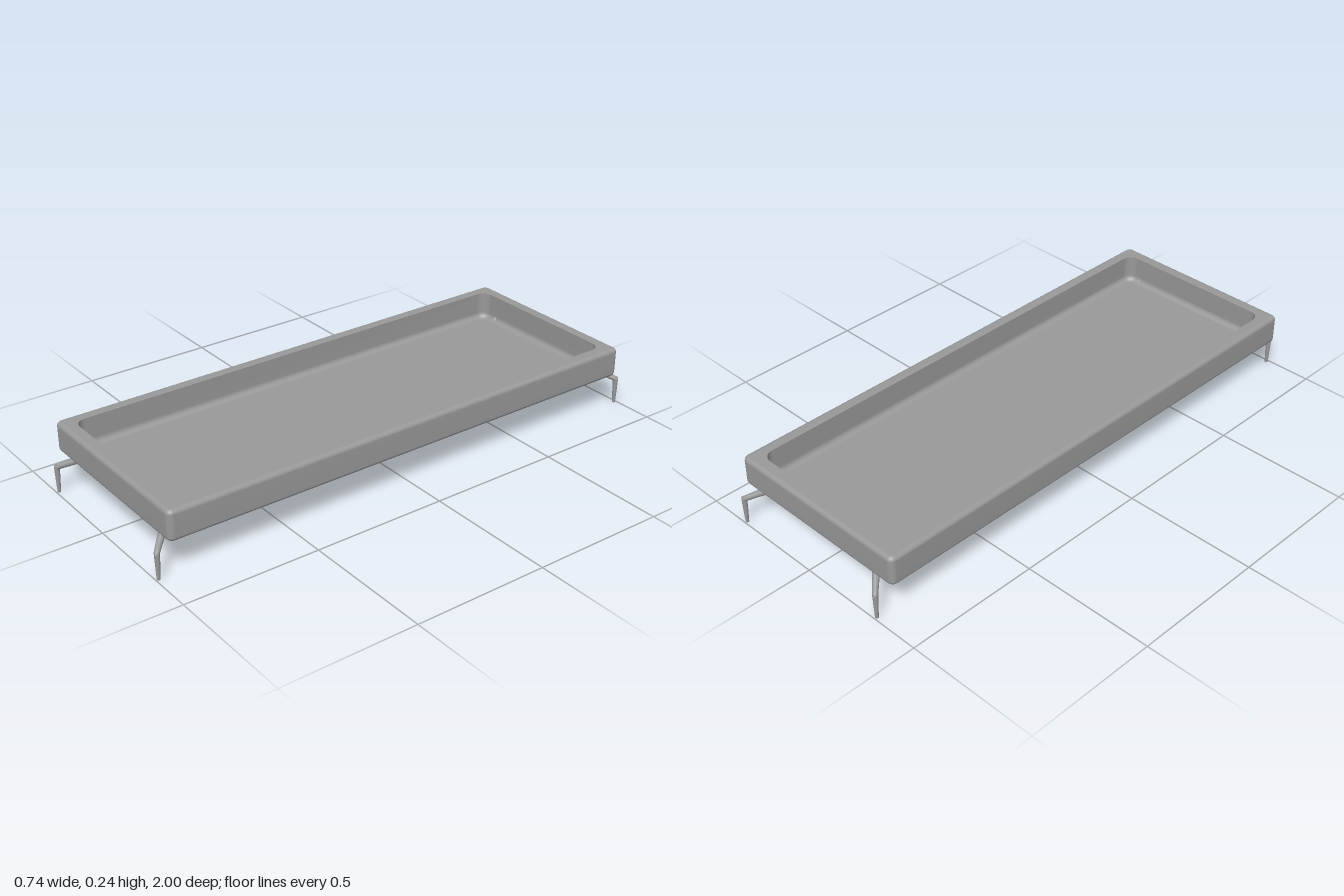
import * as THREE from 'three';

// Skin a stack of closed rings; repeated rings give a sharp edge, collapsed rings close the ends.
function skin(rings) {
  const n = rings[0].length;
  const geometry = new THREE.BufferGeometry().setFromPoints(rings.flat());
  const index = [];
  const same = (p, q) => p.distanceToSquared(q) < 1e-12;
  for (let i = 0; i < rings.length - 1; i++) {
    const lo = rings[i], hi = rings[i + 1];
    if (lo.every((p, j) => same(p, hi[j]))) continue;
    for (let j = 0; j < n; j++) {
      const k = (j + 1) % n;
      const a = i * n + j, b = i * n + k, c = a + n, d = b + n;
      if (!same(lo[j], lo[k])) index.push(a, c, b);
      if (!same(hi[j], hi[k])) index.push(b, c, d);
    }
  }
  geometry.setIndex(index);
  geometry.computeVertexNormals();
  return geometry;
}

// Rounded rectangle ring in the horizontal plane
function roundedRing(hx, hz, r, y) {
  const points = [], steps = 6;
  const corners = [[1, 1], [-1, 1], [-1, -1], [1, -1]];
  corners.forEach(([sx, sz], q) => {
    for (let i = 0; i <= steps; i++) {
      const t = (q + i / steps) * Math.PI / 2;
      points.push(new THREE.Vector3(sx * (hx - r) + r * Math.cos(t), y, sz * (hz - r) + r * Math.sin(t)));
    }
  });
  return points;
}

// Shallow tray: rounded outside, flat rim, straight inner wall with a filleted floor
function trayGeometry() {
  const HX = 0.368, HZ = 0.96, BOTTOM = 0.131, TOP = 0.243, FLOOR = 0.14;
  const EDGE = 0.016, RIM = 0.048, FILLET = 0.022, STEPS = 5;
  const ring = (inset, y, r) => roundedRing(HX - inset, HZ - inset, r, y);
  const rings = [roundedRing(0, 0, 0, BOTTOM)];
  const arc = (fn) => { for (let i = 0; i <= STEPS; i++) fn(i / STEPS * Math.PI / 2); };
  arc(t => { // lower outer edge
    const inset = EDGE * (1 - Math.sin(t));
    rings.push(ring(inset, BOTTOM + EDGE * (1 - Math.cos(t)), 0.022 - inset));
  });
  arc(t => { // upper outer edge
    const inset = EDGE * (1 - Math.cos(t));
    rings.push(ring(inset, TOP - EDGE * (1 - Math.sin(t)), 0.022 - inset));
  });
  rings.push(ring(RIM, TOP, 0.04), ring(RIM, TOP, 0.04)); // sharp inner rim
  arc(t => { // floor fillet
    const inset = FILLET * (1 - Math.cos(t));
    rings.push(ring(RIM + inset, FLOOR + FILLET * (1 - Math.sin(t)), 0.04 - inset));
  });
  rings.push(roundedRing(0, 0, 0, FLOOR));
  return skin(rings);
}

// Bent tapering leg, built in the xy plane with outward along +x
function legGeometry() {
  const up = new THREE.Vector2(0, 1);
  const arm = new THREE.Vector2(-0.914, 0.405);
  const mitre = up.clone().add(arm).normalize();
  const ring = (x, y, r, axis, stretch = 1) => Array.from({ length: 20 }, (_, j) => {
    const t = j / 20 * Math.PI * 2;
    const s = r * stretch * Math.cos(t);
    return new THREE.Vector3(x + s * axis.y, y - s * axis.x, r * Math.sin(t));
  });
  const KNEE = 0.097, REACH = 0.112;
  const tip = [-REACH, KNEE + REACH * 0.443];
  return skin([
    ring(0, 0, 0, up),
    ring(0, 0, 0.006, up),
    ring(0, 0, 0.006, up),
    ring(0, KNEE - 0.008, 0.0095, up),
    ring(0, KNEE, 0.0097, mitre, 1 / mitre.y),
    ring(-0.012, KNEE + 0.0053, 0.0102, arm),
    ring(...tip, 0.014, arm),
    ring(...tip, 0.014, arm),
    ring(...tip, 0, arm),
  ]);
}

export function createModel() {
  const model = new THREE.Group();
  model.name = 'lowTray';
  const grey = new THREE.MeshStandardMaterial({ color: 0x999999 });
  grey.name = 'grey';

  const tray = new THREE.Mesh(trayGeometry(), grey);
  tray.name = 'tray';
  model.add(tray);

  // One splayed leg at each corner
  const leg = legGeometry();
  for (const [sx, xName] of [[1, 'Left'], [-1, 'Right']]) {
    for (const [sz, zName] of [[1, 'front'], [-1, 'back']]) {
      const mesh = new THREE.Mesh(leg, grey);
      mesh.name = zName + xName + 'Leg';
      mesh.position.set(sx * 0.329 + 0.0095, 0, sz * 0.9903);
      mesh.rotation.y = Math.atan2(-sz, sx);
      model.add(mesh);
    }
  }
  return model;
}
